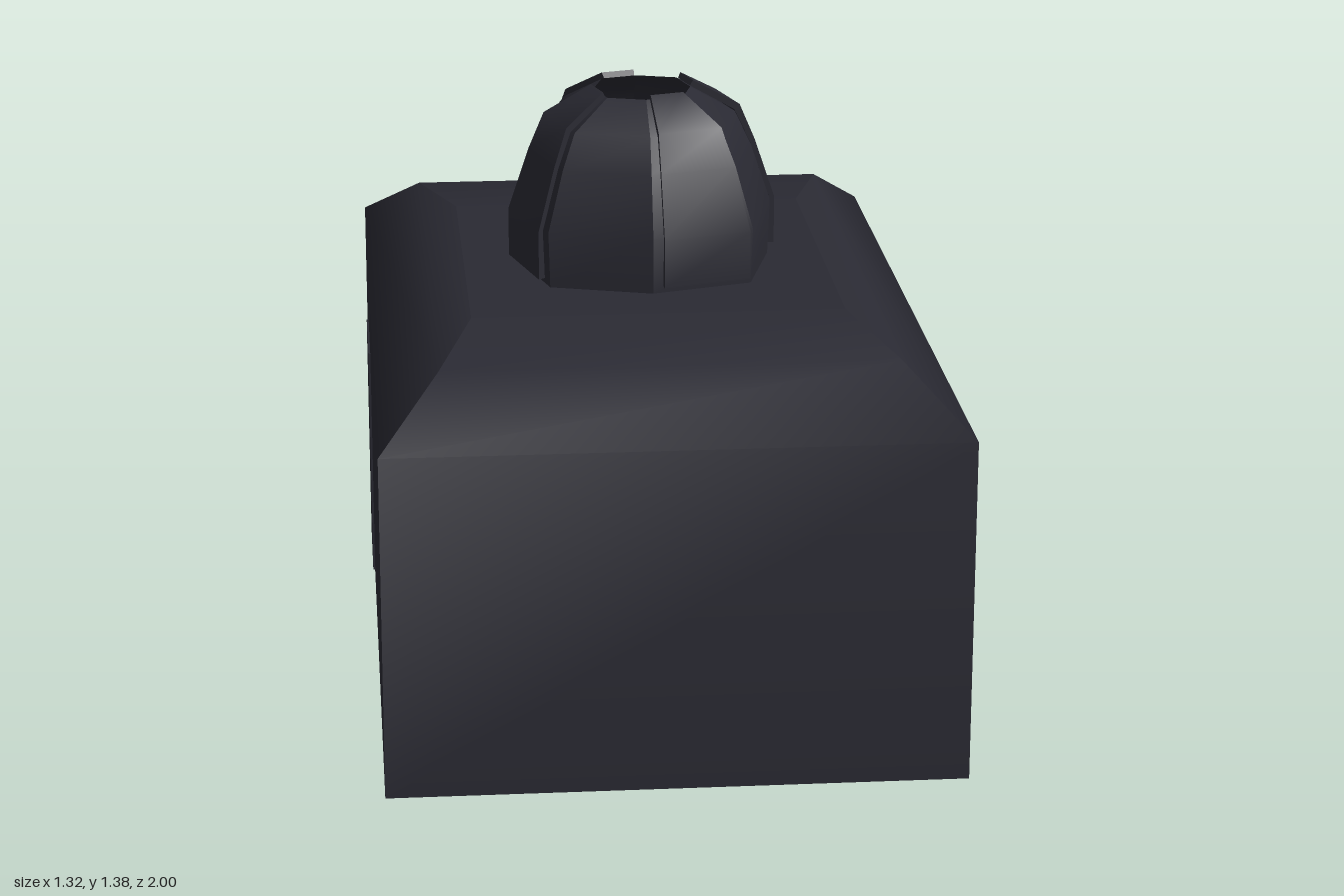
import * as THREE from 'three';
import { mergeGeometries } from 'three/addons/utils/BufferGeometryUtils.js';

// Strip of quads through rows of two points [left, right], ordered bottom to top.
// Smooth along the strip, sharp towards neighbouring strips.
function strip(rows) {
  const index = [];
  for (let i = 0; i < rows.length - 1; i++) {
    const a = i * 2;
    index.push(a, a + 1, a + 3, a, a + 3, a + 2);
  }
  const g = new THREE.BufferGeometry();
  g.setAttribute('position', new THREE.Float32BufferAttribute(rows.flat(2), 3));
  g.setIndex(index);
  g.computeVertexNormals();
  return g;
}

export function createModel() {
  const group = new THREE.Group();
  const wallMat = new THREE.MeshStandardMaterial({ color: 0x2a2a33 });
  const ventMat = new THREE.MeshStandardMaterial({ color: 0x2a2a33, side: THREE.DoubleSide });
  const add = (name, geometry, material) => {
    const mesh = new THREE.Mesh(geometry, material);
    mesh.name = name;
    group.add(mesh);
    return mesh;
  };

  // Walls running up into a softly hipped roof: [half width, half depth, height]
  const rings = [[0.655, 1, 0], [0.655, 1, 0.8], [0.515, 0.785, 0.924], [0.43, 0.47, 0.947]];
  const corners = [[1, 1], [1, -1], [-1, -1], [-1, 1]];
  const at = ([hx, hz, y], [sx, sz]) => [hx * sx, y, hz * sz];
  const sides = corners.map((c, i) =>
    strip(rings.map((r) => [at(r, c), at(r, corners[(i + 1) % 4])])));
  const [f, , , t] = rings;
  const roofTop = strip([[at(t, corners[3]), at(t, corners[0])], [at(t, corners[2]), at(t, corners[1])]]);
  const floor = strip([[at(f, corners[2]), at(f, corners[1])], [at(f, corners[3]), at(f, corners[0])]]);
  add('buildingBody', mergeGeometries([...sides, roofTop, floor]), wallMat);

  // Door on the right-hand wall
  const door = add('door', new THREE.BoxGeometry(0.01, 0.58, 0.29), wallMat);
  door.position.set(-0.655, 0.31, -0.5);

  // Eight-sided roof ventilator, open at the top; profile is [radius, height]
  const DEG = Math.PI / 180;
  const depthScale = 1.045;
  const point = ([r, y], deg, wide) => [
    r * wide * Math.cos(deg * DEG), y, r * wide * Math.sin(deg * DEG) * depthScale];
  const inner = [[0.303, 0.945], [0.308, 1.08], [0.26, 1.22], [0.222, 1.3], [0.115, 1.362]];
  const diagonal = 1.1; // the corners between the axes stand further out
  const shell = [];
  for (let i = 0; i < 8; i++) {
    const odd = i % 2;
    shell.push(strip(inner.map((p) => [
      point(p, (i + 1) * 45, odd ? 1 : diagonal),
      point(p, i * 45, odd ? diagonal : 1)])));
  }
  add('ventShell', mergeGeometries(shell), ventMat);

  // Four raised plates laid over every second face
  const outer = [[0.321, 0.965], [0.321, 1.08], [0.272, 1.225], [0.235, 1.312], [0.122, 1.375]];
  const under = inner.map(([r, y], i) => [r, i ? y : 0.965]);
  for (let k = 0; k < 4; k++) {
    const start = 48.5 + 90 * k;
    const end = 85.5 + 90 * k;
    const left = (p) => point(p, end, 1.005);
    const right = (p) => point(p, start, 1.09);
    const last = outer.length - 1;
    add('ventPlate', mergeGeometries([
      strip(outer.map((p) => [left(p), right(p)])),
      strip(outer.map((p, i) => [left(under[i]), left(p)])),
      strip(outer.map((p, i) => [right(p), right(under[i])])),
      strip([[left(under[0]), right(under[0])], [left(outer[0]), right(outer[0])]]),
      strip([[left(outer[last]), right(outer[last])], [left(under[last]), right(under[last])]]),
    ]), ventMat);
  }
  return group;
}
